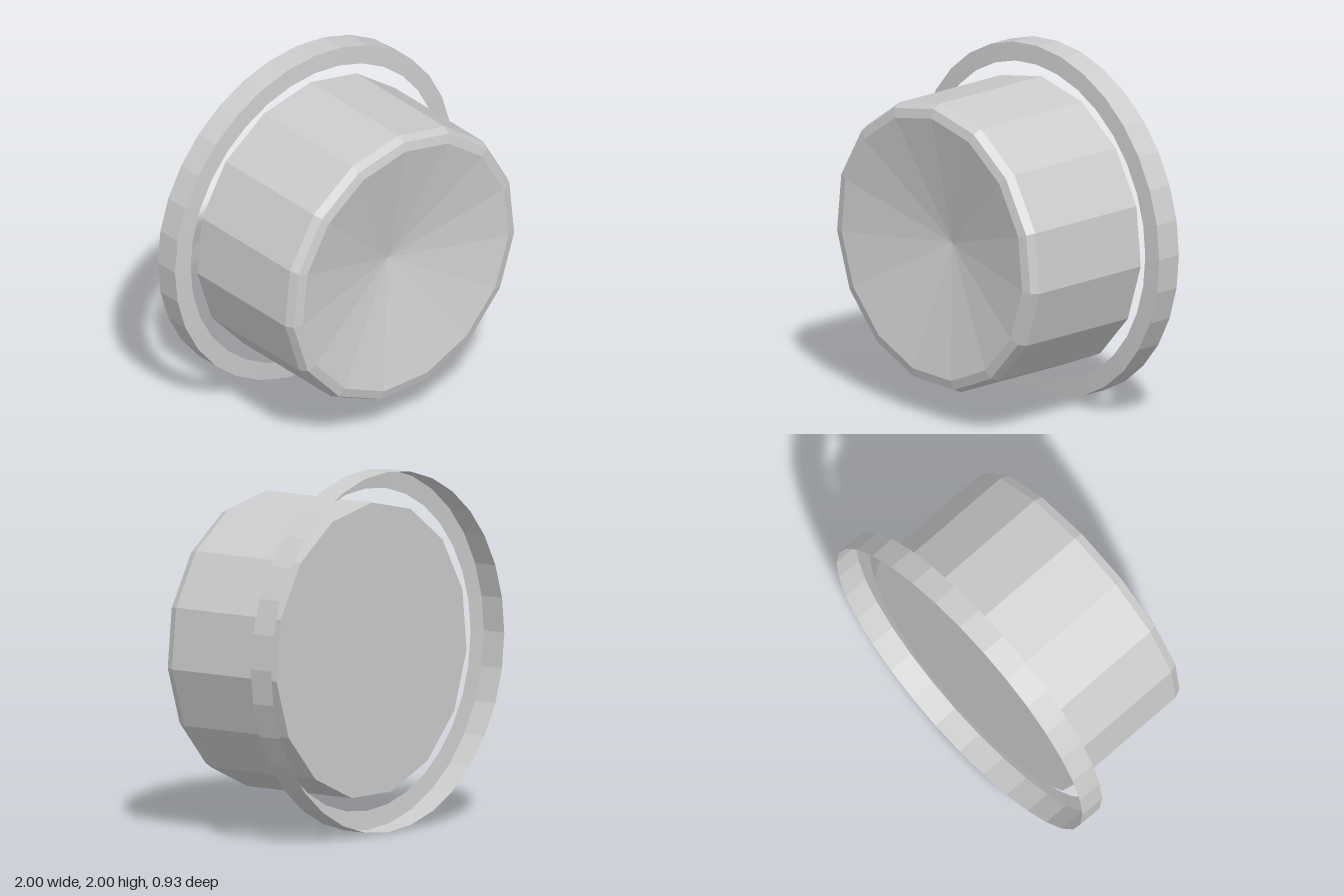
import * as THREE from 'three';

export function createModel() {
  const group = new THREE.Group();
  group.name = 'flangedCup';

  const grey = new THREE.MeshStandardMaterial({
    color: 0xcccccc, flatShading: true, side: THREE.DoubleSide,
  });
  grey.name = 'plain grey';

  // Turn a [radius, z] profile around the front-to-back axis, one corner at the top
  function turned(name, profile, sides) {
    const points = profile.map(([r, z]) => new THREE.Vector2(r, z));
    const geometry = new THREE.LatheGeometry(points, sides, Math.PI);
    geometry.rotateX(Math.PI / 2);
    geometry.translate(0, 1, 0);
    const mesh = new THREE.Mesh(geometry, grey);
    mesh.name = name;
    group.add(mesh);
  }

  // Closed drum: flat back, straight wall, bevelled rim and shallow conical dish
  turned('drum', [
    [0, -0.347], [0.82, -0.347], [0.82, 0.4],
    [0.798, 0.449], [0.745, 0.463], [0, 0.312],
  ], 15);

  // Separate thin collar: outer wall and front lip, open at the back
  turned('collar', [[1, -0.463], [1, -0.317], [0.895, -0.309]], 32);

  return group;
}
